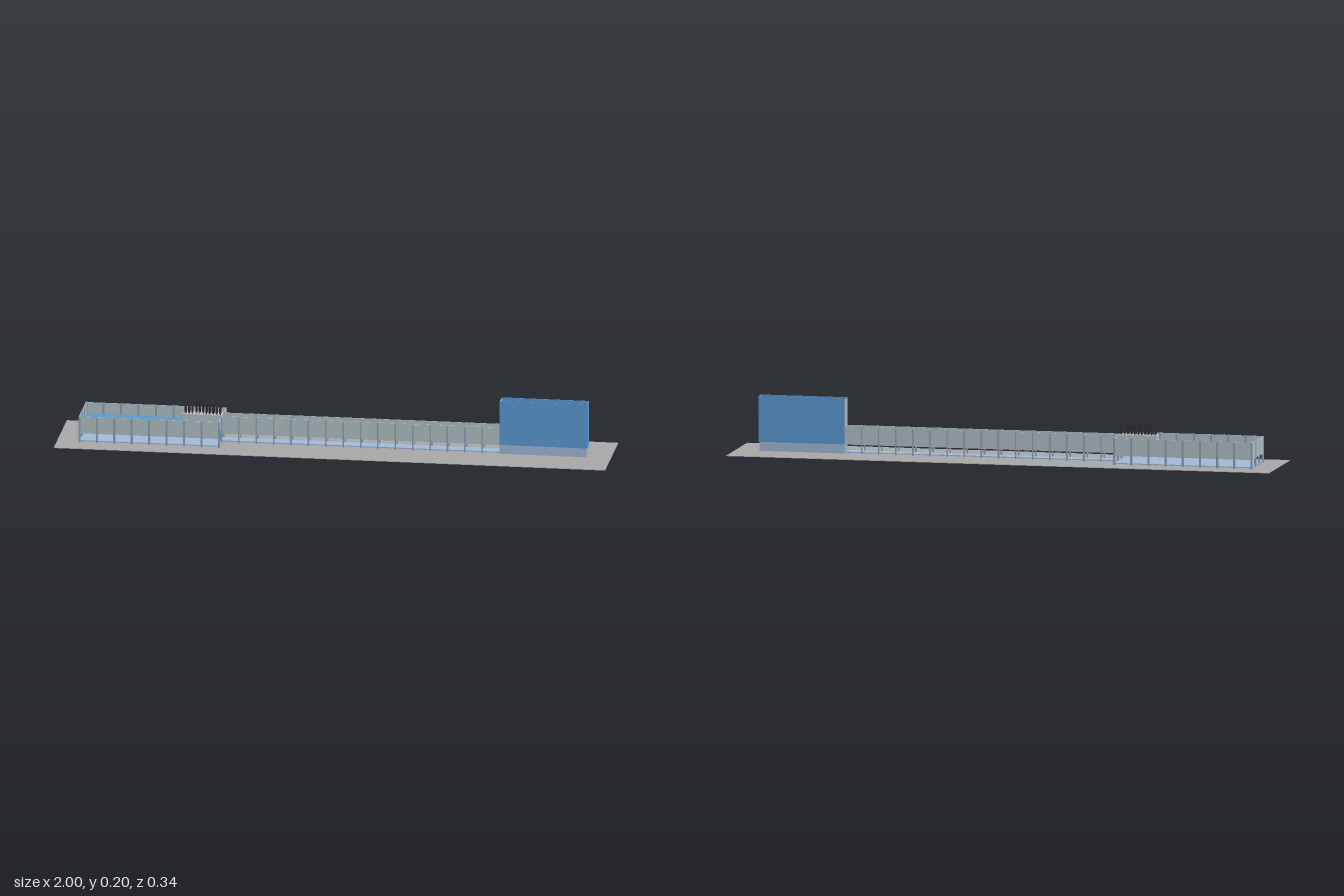
import * as THREE from 'three';

const mat = (color) => new THREE.MeshStandardMaterial({ color });

export function createModel() {
  const model = new THREE.Group();
  const blue = mat(0x5b9bd5), glass = mat(0xb4c3c8), pale = mat(0xa3bbda);
  const steel = mat(0x8fa3b8), ground = mat(0xaaaaaa), dark = mat(0x333333), grey = mat(0xcccccc);

  // box given by its extents on each axis
  function box(name, m, x0, x1, y0, y1, z0, z1, parent = model) {
    const mesh = new THREE.Mesh(new THREE.BoxGeometry(x1 - x0, y1 - y0, z1 - z0), m);
    mesh.position.set((x0 + x1) / 2, (y0 + y1) / 2, (z0 + z1) / 2);
    mesh.name = name;
    parent.add(mesh);
    return mesh;
  }

  const tank0 = -0.918, tank1 = -0.412, chan1 = 0.597, box1 = 0.915;
  const tz = 0.088, cz = 0.022, t = 0.002;
  const wallLow = 0.035, wallTop = 0.098, water = 0.055;

  box('groundPlate', ground, -1, 1, 0, t, -0.17, 0.17);

  // wide tank
  const tank = new THREE.Group();
  tank.name = 'tank';
  model.add(tank);
  box('tankWater', blue, tank0, tank1, wallLow, water, -tz, tz, tank);
  box('tankBaseSlab', pale, tank0, tank1, 0.005, 0.009, -tz, tz, tank);
  box('tankEndWall', glass, tank0 - t, tank0, wallLow, wallTop, -tz - t, tz + t, tank);
  for (const s of [-1, 1]) {
    const span = (a, b) => [Math.min(s * a, s * b), Math.max(s * a, s * b)];
    box('tankSideWall', glass, tank0, tank1, wallLow, wallTop, ...span(tz, tz + t), tank);
    box('tankInnerEndWall', glass, tank1 - t, tank1, wallLow, wallTop, ...span(cz, tz), tank);
  }

  // narrow channel
  const channel = new THREE.Group();
  channel.name = 'channel';
  model.add(channel);
  box('channelWater', blue, tank1, chan1, wallLow, water, -cz, cz, channel);
  box('channelBaseSlab', pale, tank1, chan1, 0.005, 0.009, -cz, cz, channel);
  for (const s of [-1, 1]) {
    const z = s * (cz + t / 2);
    box('channelWall', glass, tank1, chan1, wallLow, 0.1, z - t / 2, z + t / 2, channel);
  }

  // support posts along the tank and channel
  const posts = new THREE.Group();
  posts.name = 'posts';
  model.add(posts);
  const post = (x, z, w, top) =>
    box('post', steel, x - w / 2, x + w / 2, t, top, z - w / 2, z + w / 2, posts);
  for (const s of [-1, 1]) {
    for (let i = 0; i <= 8; i++) post(tank0 + (tank1 - tank0) * i / 8, s * 0.09, 0.007, wallTop);
    for (let i = 1; i < 16; i++) post(tank1 + (chan1 - tank1) * i / 16, s * 0.0245, 0.005, 0.1);
    post(tank0, s * 0.03, 0.007, wallTop);
    post(tank1, s * 0.028, 0.007, wallTop);
  }

  // tall open-topped reservoir
  const res = new THREE.Group();
  res.name = 'reservoir';
  model.add(res);
  const rz = 0.023;
  box('reservoirBase', pale, chan1, box1 - 0.005, t, wallLow, -rz, rz, res);
  box('reservoirWater', blue, chan1 + t, box1 - t, wallLow, 0.17, -rz + t, rz - t, res);
  box('reservoirFrontWall', blue, chan1, box1, wallLow, 0.2, rz - t, rz, res);
  box('reservoirBackWall', blue, chan1, box1, wallLow, 0.2, -rz, -rz + t, res);
  box('reservoirEndWall', blue, box1 - t, box1, wallLow, 0.2, -rz + t, rz - t, res);
  box('reservoirGate', glass, chan1 - 0.001, chan1 + t, wallLow, 0.196, -rz + t, rz - t, res);

  // block with rods at the channel mouth
  const inlet = new THREE.Group();
  inlet.name = 'rodBlock';
  model.add(inlet);
  box('rodBlockBody', glass, -0.552, tank1, 0.05, 0.1, -0.02, 0.02, inlet);
  box('rodBlockTop', grey, -0.552, tank1, 0.1, 0.103, -0.02, 0.02, inlet);
  const rodGeo = new THREE.CylinderGeometry(0.0016, 0.0016, 0.036, 6);
  for (let i = 0; i < 11; i++) {
    for (let j = 0; j < 4; j++) {
      const rod = new THREE.Mesh(rodGeo, dark);
      rod.name = 'rod';
      rod.position.set(-0.547 + i * 0.0125 + (j % 2) * 0.005, 0.121, -0.0165 + j * 0.011);
      inlet.add(rod);
    }
  }
  return model;
}
